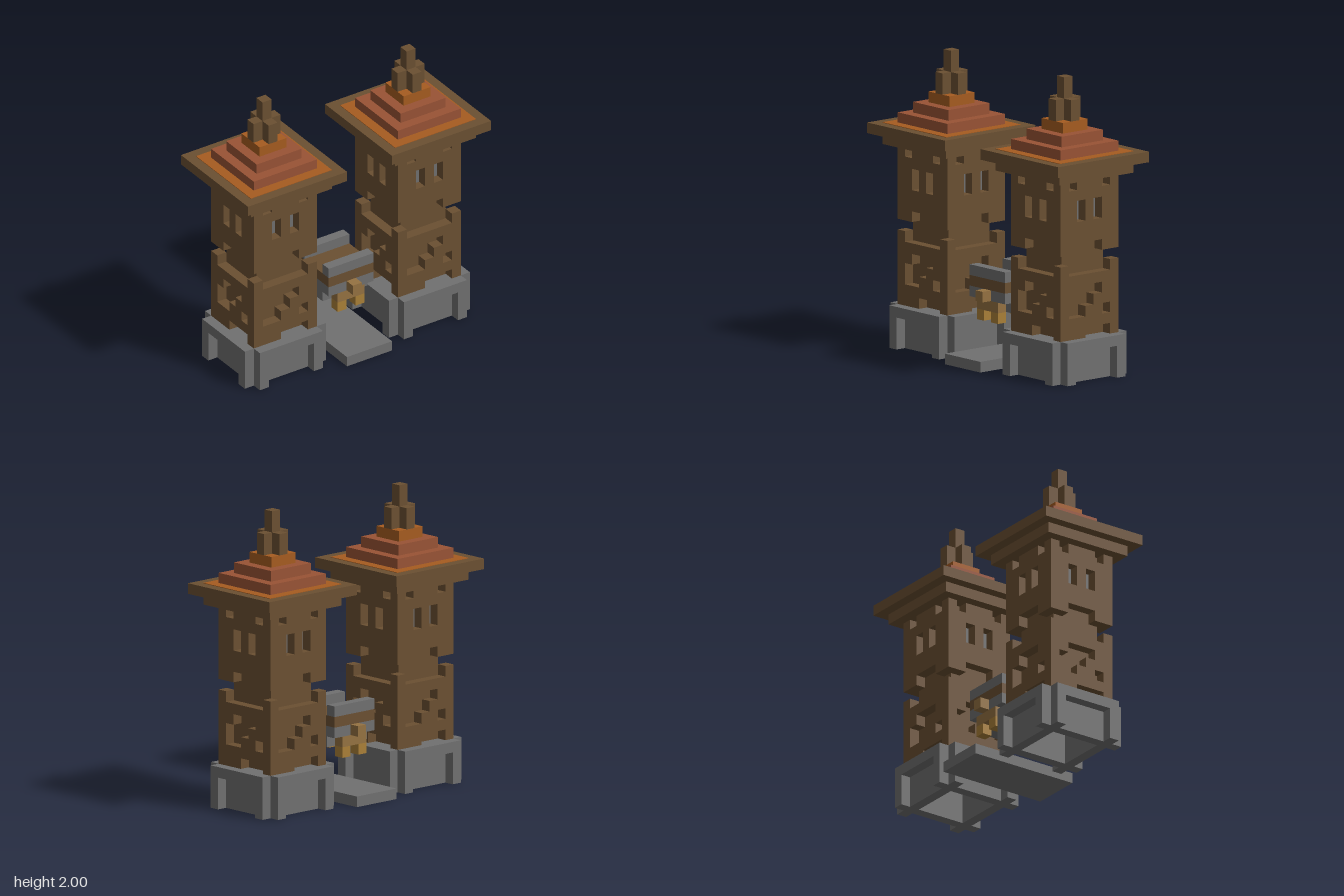
import * as THREE from 'three';

// All sizes below are in blocks; 14 blocks make one unit.
const UNIT = 1 / 14;

const paint = (name, color) => {
  const m = new THREE.MeshStandardMaterial({ color });
  m.name = name;
  return m;
};

export function createModel() {
  const timber = paint('brown timber', 0x6b5032);
  const stone = paint('grey stone', 0x707070);
  const orange = paint('orange tile', 0xa65c20);
  const tile = paint('red tile', 0x995335);
  const bracket = paint('tan bracket', 0x957242);
  const glow = paint('golden lamp', 0xaa8038);

  // Box given by its centre in plan, its bottom and its size
  const box = (parent, name, mat, w, h, d, x, y, z) => {
    const m = new THREE.Mesh(new THREE.BoxGeometry(w, h, d), mat);
    m.name = name;
    m.position.set(x, y + h / 2, z);
    parent.add(m);
    return m;
  };

  const vecs = (pts) => pts.map(([x, y]) => new THREE.Vector2(x, y));
  const rect = (x0, y0, x1, y1) => [[x0, y0], [x1, y0], [x1, y1], [x0, y1]];

  // One-block-thick wall panel whose back lies at z
  const panel = (parent, name, mat, z, outline, holes = []) => {
    const shape = new THREE.Shape(vecs(outline));
    holes.forEach((h) => shape.holes.push(new THREE.Path(vecs(h))));
    const geo = new THREE.ExtrudeGeometry(shape, { depth: 1, bevelEnabled: false });
    const m = new THREE.Mesh(geo, mat);
    m.name = name;
    m.position.z = z;
    parent.add(m);
  };

  // One side of a tower; each side also carries one corner post
  const towerSide = () => {
    const side = new THREE.Group();
    side.name = 'towerSide';

    // Stone base: inner wall and the raised frame in front of it
    panel(side, 'baseWall', stone, 2.5, rect(-3.5, 0, 2.5, 4));
    panel(side, 'baseFrame', stone, 3.5, [
      [-3.5, 0], [-2.5, 0], [-2.5, 3], [2.5, 3], [2.5, 0], [3.5, 0], [3.5, 4], [-3.5, 4],
    ]);

    // Lower wall with worn gaps
    panel(side, 'lowerWall', timber, 2.5, [
      [-3.5, 4], [-0.5, 4], [-0.5, 5], [2.5, 5], [2.5, 6], [1.5, 6], [1.5, 7], [2.5, 7],
      [2.5, 10], [-2.5, 10], [-2.5, 11], [-3.5, 11],
    ], [[
      [-2.5, 6], [-0.5, 6], [-0.5, 7], [0.5, 7], [0.5, 8], [1.5, 8], [1.5, 9],
      [-1.5, 9], [-1.5, 8], [-2.5, 8],
    ]]);

    // Upper wall with two windows
    panel(side, 'upperWall', timber, 2.5, [
      [-3.5, 12], [-1.5, 12], [-1.5, 13], [1.5, 13], [1.5, 12], [2.5, 12], [2.5, 18],
      [1.5, 18], [1.5, 19], [-1.5, 19], [-1.5, 18], [-2.5, 18], [-2.5, 19], [-3.5, 19],
    ], [rect(-1.5, 15, -0.5, 17), rect(0.5, 15, 1.5, 17)]);
    for (const x of [-1, 1]) box(side, 'windowPane', stone, 1, 2, 0.1, x, 15, 2.5);
    return side;
  };

  const tower = (name, x) => {
    const t = new THREE.Group();
    t.name = name;
    t.position.x = x;
    for (let i = 0; i < 4; i++) {
      const side = towerSide();
      side.rotation.y = (i * Math.PI) / 2;
      t.add(side);
    }
    box(t, 'core', timber, 5, 15, 5, 0, 4, 0);
    box(t, 'baseCeiling', stone, 5, 0.1, 5, 0, 3.9, 0);

    // Stepped eaves and roof
    box(t, 'lowerEaves', timber, 9, 1, 9, 0, 19, 0);
    box(t, 'upperEaves', timber, 11, 1, 11, 0, 20, 0);
    box(t, 'roofBorder', orange, 9, 0.05, 9, 0, 21, 0);
    box(t, 'lowerRoof', tile, 7, 1, 7, 0, 21, 0);
    box(t, 'upperRoof', tile, 5, 1, 5, 0, 22, 0);
    box(t, 'roofCap', orange, 3, 1, 3, 0, 23, 0);

    // Cross-shaped finial
    box(t, 'finialSpire', timber, 1, 4, 1, 0, 24, 0);
    for (const s of [-1, 1]) {
      box(t, 'finialArm', timber, 1, 2, 1, s, 24, 0);
      box(t, 'finialArm', timber, 1, 2, 1, 0, 24, s);
    }
    return t;
  };

  const model = new THREE.Group();
  model.name = 'twinTowerGate';
  model.add(tower('rightTower', -8), tower('leftTower', 8));

  // Path slab and bridge between the towers
  box(model, 'pathSlab', stone, 5, 1, 11, 0, 0, 0);
  const bridge = new THREE.Group();
  bridge.name = 'bridge';
  model.add(bridge);
  box(bridge, 'bridgeBeam', stone, 5, 1, 3, 0, 5, 0);
  box(bridge, 'bridgeUnderside', stone, 5, 1, 5, 0, 6, 0);
  box(bridge, 'bridgeDeck', timber, 5, 1, 5, 0, 7, 0);
  for (const s of [-1, 1]) {
    box(bridge, 'parapet', stone, 5, 1, 1, 0, 8, 2 * s);
    box(bridge, 'lampBracket', bracket, 1, 1, 1, 0, 6, 3 * s);
    box(bridge, 'lampBar', bracket, 3, 1, 1, 0, 5, 2 * s);
    for (const x of [-1, 1]) box(bridge, 'lamp', glow, 1, 1, 1, x, 4, 2 * s);
  }

  model.scale.setScalar(UNIT);
  return model;
}
